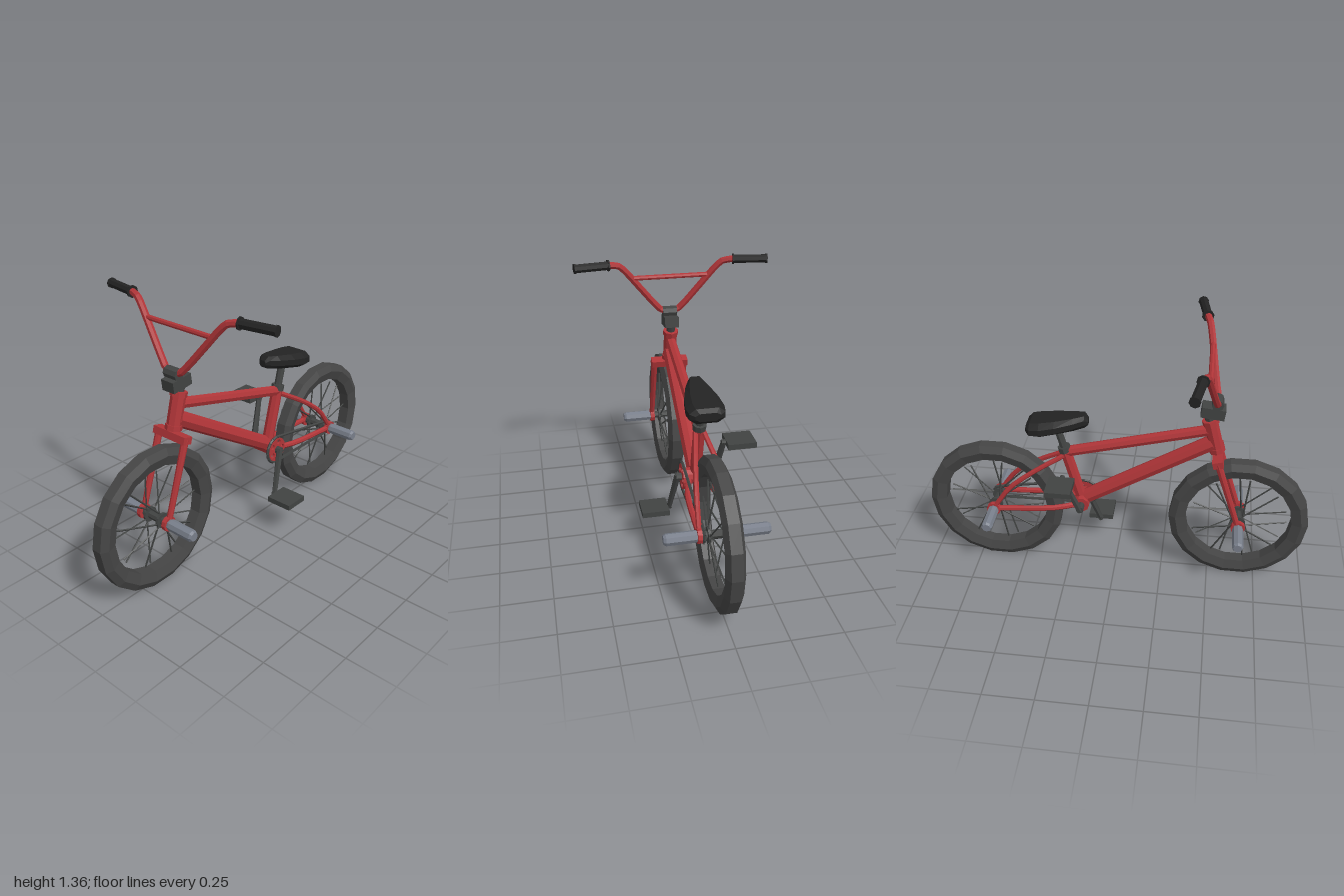
import * as THREE from 'three';

const mat = (name, color) => new THREE.MeshStandardMaterial({ name, color, flatShading: true });
const V = (x, y, z) => new THREE.Vector3(x, y, z);

export function createModel() {
  const red = mat('frameRed', 0xb03538);
  const rubber = mat('tyreRubber', 0x454545);
  const black = mat('softBlack', 0x232323);
  const dark = mat('darkMetal', 0x414342);
  const steel = mat('pegSteel', 0x787e8a);
  const model = new THREE.Group();
  model.name = 'bicycle';

  const add = (name, geo, m, parent = model) => {
    const mesh = new THREE.Mesh(geo, m);
    mesh.name = name;
    parent.add(mesh);
    return mesh;
  };
  // Straight rod from a to b
  const rod = (name, a, b, r, m, { r2 = r, sides = 8, parent = model } = {}) => {
    const mesh = add(name, new THREE.CylinderGeometry(r2, r, a.distanceTo(b), sides), m, parent);
    mesh.position.copy(a).lerp(b, 0.5);
    mesh.quaternion.setFromUnitVectors(V(0, 1, 0), b.clone().sub(a).normalize());
    return mesh;
  };
  const box = (name, w, h, d, p, m, tilt = 0) => {
    const mesh = add(name, new THREE.BoxGeometry(w, h, d), m);
    mesh.position.copy(p);
    mesh.rotation.x = tilt;
    return mesh;
  };
  const pipe = (name, pts, r, n, m) =>
    add(name, new THREE.TubeGeometry(new THREE.CatmullRomCurve3(pts, false, 'centripetal'), n, r, 7), m);

  // Wheels: tyre, hub, crossed spokes and pegs
  const tyreProfile = [[0.275, -0.03], [0.325, -0.045], [0.36, -0.026], [0.36, 0.026],
    [0.325, 0.045], [0.275, 0.03], [0.275, -0.03]].map(([r, y]) => new THREE.Vector2(r, y));
  const pegProfile = [[0, 0.095], [0.027, 0.095], [0.029, 0.105], [0.029, 0.238], [0.022, 0.25], [0, 0.25]]
    .map(([r, y]) => new THREE.Vector2(r, y));
  for (const [name, z] of [['frontWheel', 0.64], ['rearWheel', -0.64]]) {
    const wheel = new THREE.Group();
    wheel.name = name;
    wheel.position.set(0, 0.3555, z);
    model.add(wheel);
    add('tyre', new THREE.LatheGeometry(tyreProfile, 18), rubber, wheel).rotation.z = Math.PI / 2;
    rod('hub', V(-0.1, 0, 0), V(0.1, 0, 0), 0.02, dark, { parent: wheel });
    for (const s of [-1, 1]) {
      rod('hubFlange', V(s * 0.035, 0, 0), V(s * 0.047, 0, 0), 0.038, dark, { sides: 10, parent: wheel });
      rod('dropout', V(s * 0.072, 0, 0), V(s * 0.094, 0, 0), 0.037, red, { sides: 10, parent: wheel });
      add('peg', new THREE.LatheGeometry(pegProfile, 8), steel, wheel).rotation.z = -s * Math.PI / 2;
      for (let i = 0; i < 9; i++) {
        const a = (i + (s > 0 ? 0.3 : 0)) * Math.PI * 2 / 9;
        const b = a + (i % 2 ? 1 : -1) * 0.5;
        rod('spoke', V(s * 0.04, 0.034 * Math.sin(b), 0.034 * Math.cos(b)),
          V(s * 0.01, 0.25 * Math.sin(a), 0.25 * Math.cos(a)), 0.0045, dark, { sides: 4, parent: wheel });
      }
    }
  }

  // Main frame
  const bb = V(0, 0.4, -0.178);
  rod('headTube', V(0, 0.77, 0.503), V(0, 0.945, 0.457), 0.036, red);
  rod('headTubeLowerRing', V(0, 0.765, 0.504), V(0, 0.79, 0.498), 0.041, red);
  rod('headTubeUpperRing', V(0, 0.92, 0.464), V(0, 0.945, 0.457), 0.041, red);
  rod('topTube', V(0, 0.885, 0.465), V(0, 0.695, -0.265), 0.028, red);
  rod('downTube', V(0, 0.815, 0.48), V(0, 0.425, -0.155), 0.04, red);
  rod('seatTube', bb, V(0, 0.715, -0.262), 0.03, red);
  rod('bottomBracket', V(-0.055, 0.4, -0.178), V(0.055, 0.4, -0.178), 0.042, red, { sides: 10 });
  for (const s of [-1, 1]) {
    pipe('seatStay', [V(s * 0.02, 0.685, -0.262), V(s * 0.055, 0.585, -0.43),
      V(s * 0.075, 0.49, -0.55), V(s * 0.083, 0.36, -0.64)], 0.013, 8, red);
    pipe('chainStay', [V(s * 0.035, 0.39, -0.2), V(s * 0.068, 0.38, -0.31), V(s * 0.083, 0.358, -0.64)], 0.015, 7, red);
    // Fork legs
    rod('forkLeg', V(s * 0.084, 0.34, 0.645), V(s * 0.084, 0.745, 0.512), 0.014, red, { r2: 0.018 });
  }
  box('forkCrown', 0.2, 0.036, 0.052, V(0, 0.742, 0.512), red, -0.26);

  // Seat post and saddle
  rod('seatCollar', V(0, 0.7, -0.259), V(0, 0.73, -0.267), 0.034, dark);
  rod('seatPost', V(0, 0.7, -0.259), V(0, 0.85, -0.3), 0.02, dark);
  const stations = [ // z, half width, top, bottom
    [-0.137, 0.02, 0.905, 0.872], [-0.155, 0.034, 0.927, 0.86], [-0.21, 0.058, 0.918, 0.846],
    [-0.3, 0.082, 0.903, 0.827], [-0.375, 0.091, 0.892, 0.81], [-0.425, 0.084, 0.884, 0.81],
    [-0.445, 0.06, 0.868, 0.828]];
  const section = [[1, 0.3], [1, 0.7], [0.65, 1], [-0.65, 1], [-1, 0.7], [-1, 0.3], [-0.6, 0], [0.6, 0]];
  const pos = [], idx = [], n = section.length, last = (stations.length - 1) * n;
  stations.forEach(([z, w, t, b], i) => section.forEach(([u, v], j) => {
    pos.push(u * w, b + v * (t - b), z);
    if (i * n === last) return;
    const a = i * n + j, c = i * n + (j + 1) % n;
    idx.push(a, a + n, c + n, a, c + n, c);
  }));
  for (let k = 1; k < n - 1; k++) idx.push(0, k, k + 1, last, last + k + 1, last + k);
  const saddle = new THREE.BufferGeometry();
  saddle.setAttribute('position', new THREE.Float32BufferAttribute(pos, 3));
  saddle.setIndex(idx);
  saddle.computeVertexNormals();
  add('saddle', saddle, black);

  // Stem and handlebar
  rod('headset', V(0, 0.935, 0.459), V(0, 0.985, 0.447), 0.024, dark);
  box('stem', 0.075, 0.055, 0.115, V(0, 0.995, 0.47), dark, 0.12);
  rod('barClamp', V(-0.038, 1.043, 0.489), V(0.038, 1.043, 0.489), 0.029, dark);
  const half = [[0.045, 1.055, 0.488], [0.075, 1.085, 0.48], [0.16, 1.19, 0.458],
    [0.245, 1.295, 0.436], [0.275, 1.322, 0.428], [0.33, 1.333, 0.413]];
  pipe('handlebar', [...half.map(([x, y, z]) => V(-x, y, z)).reverse(), V(0, 1.042, 0.489),
    ...half.map(([x, y, z]) => V(x, y, z))], 0.0175, 32, red);
  rod('crossbar', V(-0.2, 1.248, 0.446), V(0.2, 1.248, 0.446), 0.013, red);
  for (const s of [-1, 1]) {
    rod('grip', V(s * 0.325, 1.332, 0.413), V(s * 0.505, 1.332, 0.384), 0.023, black);
    rod('gripFlange', V(s * 0.325, 1.332, 0.413), V(s * 0.333, 1.332, 0.4117), 0.03, black);
    rod('gripEnd', V(s * 0.497, 1.332, 0.3853), V(s * 0.506, 1.332, 0.3839), 0.026, black);
  }

  // Cranks and pedals
  rod('crankAxle', V(-0.1, 0.4, -0.178), V(0.1, 0.4, -0.178), 0.02, dark);
  for (const [s, y, z] of [[1, 0.183, -0.1], [-1, 0.615, -0.258]]) {
    rod('crankArm', V(s * 0.09, 0.4 - s * -0.012, -0.178), V(s * 0.122, y, z), 0.018, dark, { r2: 0.014, sides: 6 });
    rod('pedalAxle', V(s * 0.11, y, z), V(s * 0.15, y, z), 0.013, dark);
    box('pedal', 0.14, 0.028, 0.13, V(s * 0.2, y, z), dark);
  }

  // Sprocket with round cut-outs
  const disc = new THREE.Shape().absarc(0, 0, 0.066, 0, Math.PI * 2);
  for (let i = 0; i < 5; i++) {
    const a = i * Math.PI * 0.4;
    disc.holes.push(new THREE.Path().absarc(0.043 * Math.cos(a), 0.043 * Math.sin(a), 0.014, 0, Math.PI * 2, true));
  }
  const sprocket = add('sprocket', new THREE.ExtrudeGeometry(disc, { depth: 0.012, bevelEnabled: false, curveSegments: 8 }), red);
  sprocket.rotation.y = Math.PI / 2;
  sprocket.position.set(0.06, 0.4, -0.178);
  rod('rearCog', V(0.055, 0.3555, -0.64), V(0.071, 0.3555, -0.64), 0.03, dark, { sides: 10 });

  // Chain looped over sprocket and cog
  const loop = [];
  for (let i = 0; i <= 8; i++) {
    const a = Math.PI * (i / 8 - 0.5);
    loop.push(V(0.066, 0.4 + 0.073 * Math.sin(a), -0.178 + 0.073 * Math.cos(a)));
  }
  for (let i = 0; i <= 6; i++) {
    const a = Math.PI * (i / 6 + 0.5);
    loop.push(V(0.066, 0.3575 + 0.035 * Math.sin(a), -0.64 + 0.035 * Math.cos(a)));
  }
  loop.forEach((p, i) => rod('chain', p, loop[(i + 1) % loop.length], 0.008, dark, { sides: 5 }));

  return model;
}
